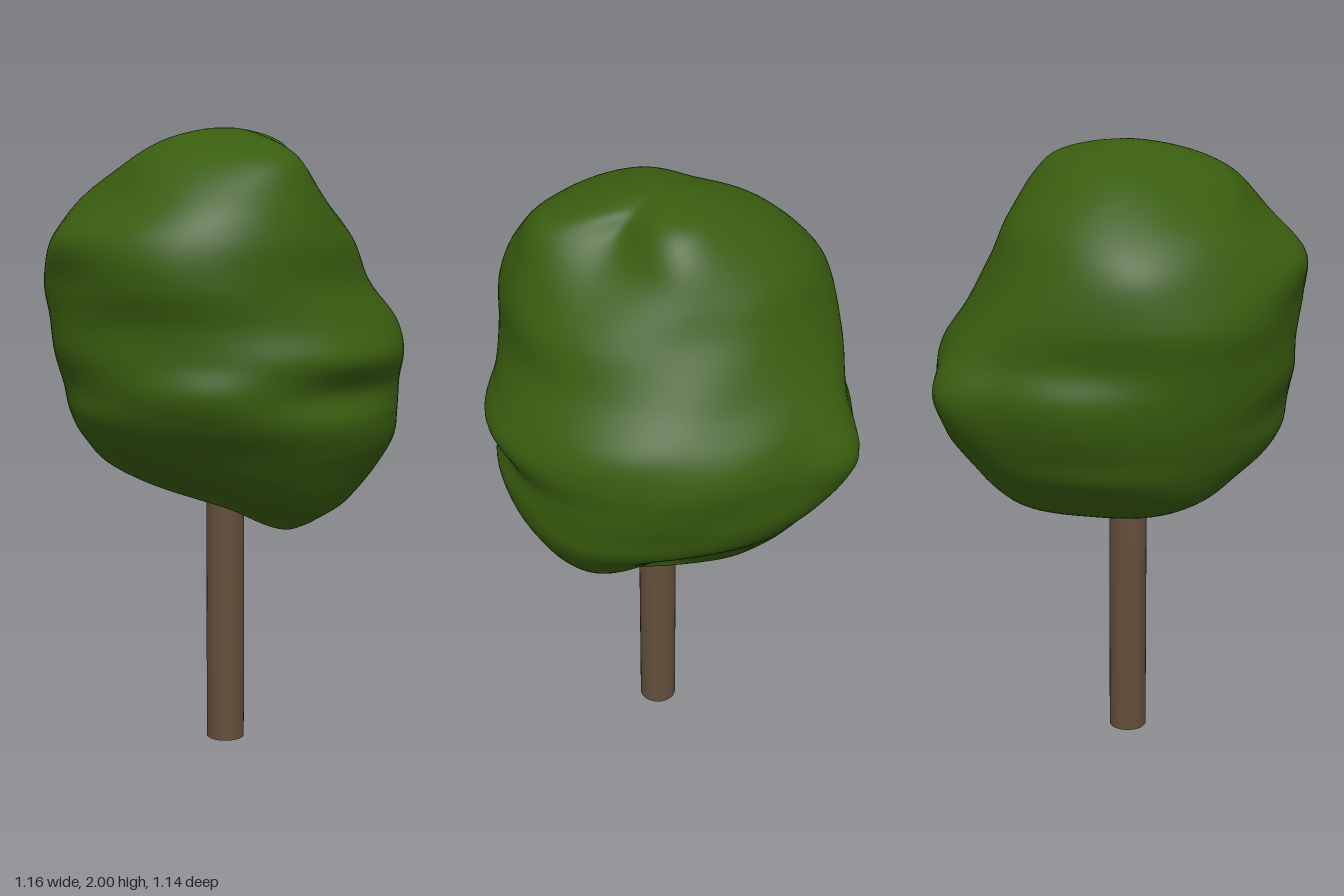
import * as THREE from 'three';

// Canopy cross-sections from bottom to top: height, then the reach from the
// middle axis in eight compass directions, turning from +x towards +z.
const SECTIONS = [
  [0.73, 0.055, 0.205, 0.235, 0.127, -0.055, -0.205, -0.235, -0.127],
  [0.79, 0.21, 0.35, 0.345, 0.21, 0.05, 0.0, -0.02, 0.11],
  [0.85, 0.28, 0.42, 0.41, 0.29, 0.15, 0.25, 0.25, 0.32],
  [0.93, 0.375, 0.49, 0.46, 0.38, 0.31, 0.40, 0.36, 0.43],
  [1.02, 0.49, 0.54, 0.51, 0.45, 0.455, 0.47, 0.47, 0.51],
  [1.11, 0.535, 0.55, 0.54, 0.52, 0.52, 0.51, 0.51, 0.57],
  [1.20, 0.56, 0.56, 0.525, 0.56, 0.53, 0.53, 0.545, 0.595],
  [1.30, 0.575, 0.575, 0.57, 0.54, 0.555, 0.55, 0.565, 0.605],
  [1.40, 0.55, 0.545, 0.525, 0.545, 0.555, 0.57, 0.545, 0.575],
  [1.52, 0.465, 0.46, 0.49, 0.58, 0.57, 0.585, 0.555, 0.52],
  [1.66, 0.385, 0.40, 0.48, 0.56, 0.58, 0.545, 0.535, 0.46],
  [1.78, 0.33, 0.31, 0.44, 0.49, 0.44, 0.46, 0.455, 0.40],
  [1.90, 0.26, 0.18, 0.37, 0.36, 0.35, 0.29, 0.32, 0.28],
  [1.97, 0.18, 0.11, 0.18, 0.20, 0.20, 0.15, 0.16, 0.17],
  [2.00, 0, 0, 0, 0, 0, 0, 0, 0],
];
const LAST = SECTIONS.length - 1;

// Smooth curve through four neighbouring values
function cubic(a, b, c, d, t) {
  return b + 0.5 * t * (c - a + t * (2 * a - 5 * b + 4 * c - d + t * (3 * (b - c) + d - a)));
}

// A section by number; past either pole the shape carries over to the far
// side, which rounds off the top and the bottom
function row(i) {
  if (i >= 0 && i <= LAST) return SECTIONS[i];
  const [pole, next] = i < 0 ? [SECTIONS[0], SECTIONS[1]] : [SECTIONS[LAST], SECTIONS[LAST - 1]];
  return next.map((n, k) => (k === 0 ? n : 2 * pole[k] - n));
}

// All nine numbers of a section, blended at a fractional row
function sectionAt(v) {
  const i = Math.min(Math.floor(v), LAST - 1);
  return row(i).map((_, k) =>
    cubic(row(i - 1)[k], row(i)[k], row(i + 1)[k], row(i + 2)[k], v - i));
}

// Narrow knob on the back left of the foliage
function knob(a, y) {
  return 0.065 * Math.exp(-(((a - 5.47) / 0.2) ** 2) - ((y - 1.28) / 0.14) ** 2);
}

function canopyGeometry(rings = 112, sides = 96) {
  const positions = [];
  const index = [];
  for (let i = 0; i <= rings; i++) {
    const [y, ...reach] = sectionAt((i / rings) * LAST);
    const cx = (reach[0] - reach[4]) / 2;
    const cz = (reach[2] - reach[6]) / 2;
    const radii = reach.map((r, k) => {
      const a = (k * Math.PI) / 4;
      return r - cx * Math.cos(a) - cz * Math.sin(a);
    });
    for (let j = 0; j < sides; j++) {
      const a = (j / sides) * Math.PI * 2;
      const u = (j / sides) * 8;
      const k = Math.floor(u);
      let r = cubic(radii[(k + 7) % 8], radii[k], radii[(k + 1) % 8], radii[(k + 2) % 8], u - k);
      // Soft leafy ripples
      r *= 1 + 0.009 * Math.sin(17 * y + 2 * Math.sin(2 * a)) * Math.sin(3 * a + 5 * y);
      r += knob(a, y);
      positions.push(cx + r * Math.cos(a), y, cz + r * Math.sin(a));
      if (i < rings) {
        const p = i * sides + j;
        const q = i * sides + ((j + 1) % sides);
        index.push(p, p + sides, q, q, p + sides, q + sides);
      }
    }
  }
  const geometry = new THREE.BufferGeometry();
  geometry.setAttribute('position', new THREE.Float32BufferAttribute(positions, 3));
  geometry.setIndex(index);
  geometry.computeVertexNormals();
  return geometry;
}

export function createModel() {
  const tree = new THREE.Group();
  tree.name = 'tree';

  // Lumpy foliage
  const canopy = new THREE.Mesh(
    canopyGeometry(), new THREE.MeshStandardMaterial({ color: 0x395d0f }));
  canopy.name = 'canopy';

  // Straight round trunk, reaching up into the foliage
  const trunk = new THREE.Mesh(
    new THREE.CylinderGeometry(0.062, 0.062, 1.1, 32),
    new THREE.MeshStandardMaterial({ color: 0x644f3b }));
  trunk.name = 'trunk';
  trunk.position.set(-0.02, 0.55, 0.02);

  tree.add(trunk, canopy);
  return tree;
}
